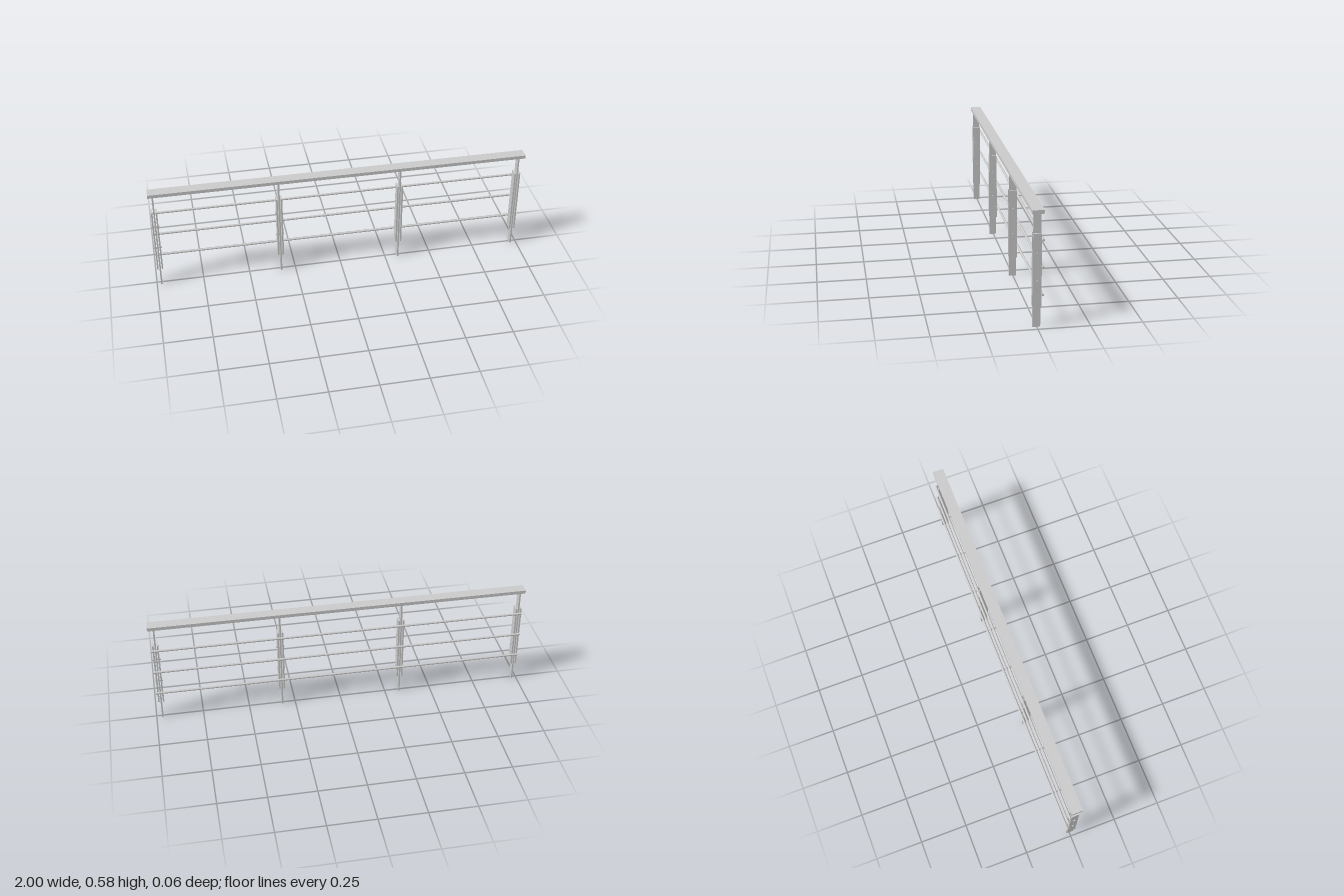
import * as THREE from 'three';

const material = new THREE.MeshStandardMaterial({ color: 0xcccccc });

function addMesh(parent, name, geometry, x, y, z) {
  const mesh = new THREE.Mesh(geometry, material);
  mesh.name = name;
  mesh.position.set(x, y, z);
  parent.add(mesh);
  return mesh;
}

// Round rod lying along x
function rod(radius, length) {
  return new THREE.CylinderGeometry(radius, radius, length, 20).rotateZ(Math.PI / 2);
}

export function createModel() {
  const model = new THREE.Group();
  model.name = 'railing';

  // Flat handrail
  addMesh(model, 'handrail', new THREE.BoxGeometry(2, 0.018, 0.058), 0, 0.571, 0.002);

  // Horizontal infill bars running behind the posts
  for (const y of [0.166, 0.3, 0.433]) {
    addMesh(model, 'infillBar', rod(0.006, 1.984), 0, y, -0.023);
  }

  // Flat posts, each clamped between two bolted side plates
  const postGeometry = new THREE.BoxGeometry(0.008, 0.562, 0.037);
  const plateGeometry = new THREE.BoxGeometry(0.008, 0.36, 0.041);
  const shankGeometry = rod(0.004, 0.036);
  const headGeometry = rod(0.006, 0.005);
  for (let i = 0; i < 4; i++) {
    const post = new THREE.Group();
    post.name = 'postAssembly';
    post.position.x = -0.975 + i * 0.6475;
    model.add(post);
    addMesh(post, 'post', postGeometry, 0, 0.281, 0.0025);
    for (const side of [-1, 1]) {
      addMesh(post, 'sidePlate', plateGeometry, side * 0.012, 0.283, 0.0025);
    }
    for (const y of [0.231, 0.366]) {
      addMesh(post, 'boltShank', shankGeometry, 0, y, 0.0025);
      for (const side of [-1, 1]) {
        addMesh(post, 'boltHead', headGeometry, side * 0.0185, y, 0.0025);
      }
    }
  }
  return model;
}
